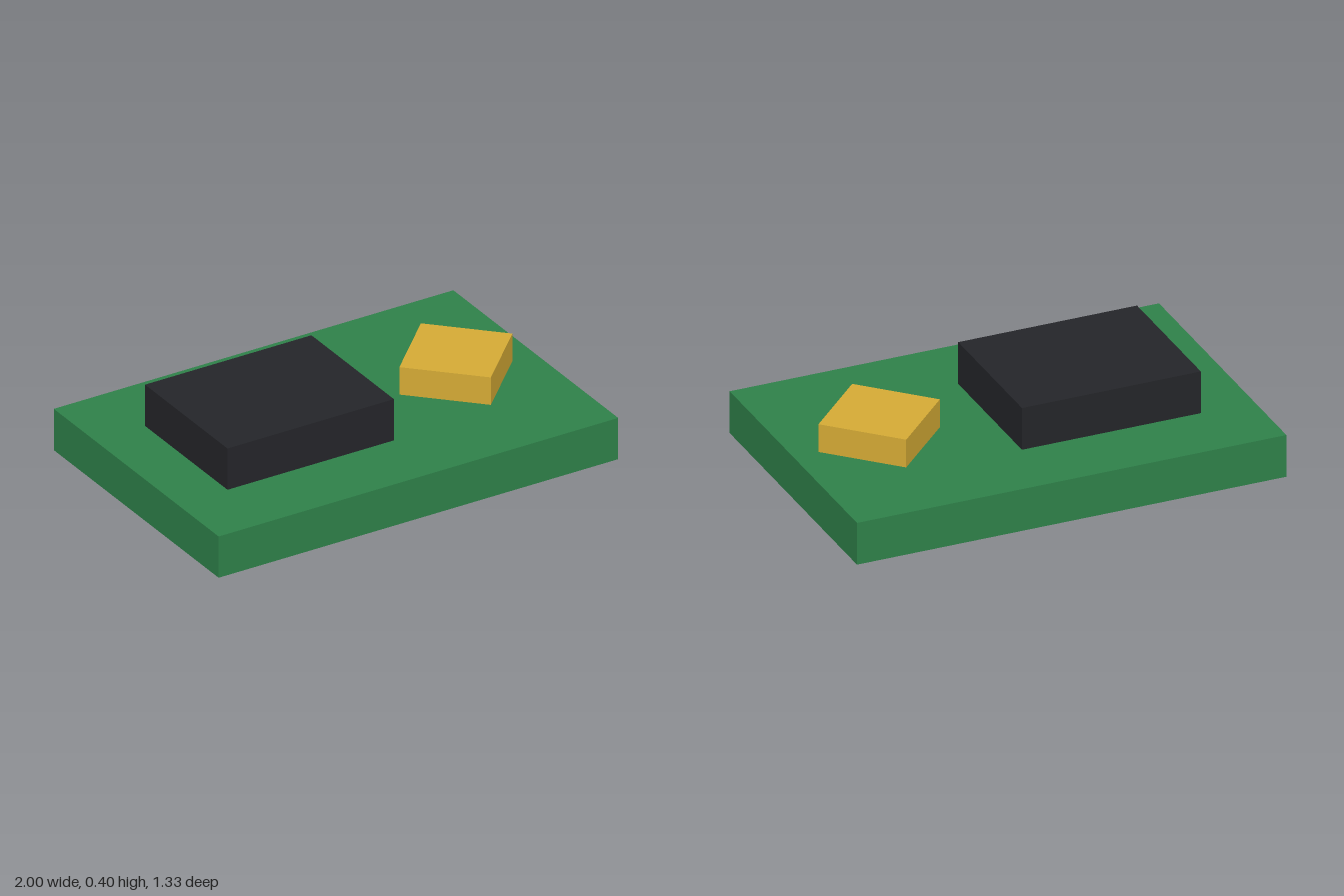
import * as THREE from 'three';

// Box resting on height y, optionally turned about the vertical axis
function block(name, color, [w, h, d], [x, y, z], turn = 0) {
  const mesh = new THREE.Mesh(
    new THREE.BoxGeometry(w, h, d),
    new THREE.MeshStandardMaterial({ color })
  );
  mesh.name = name;
  mesh.position.set(x, y + h / 2, z);
  mesh.rotation.y = turn;
  return mesh;
}

export function createModel() {
  const model = new THREE.Group();
  model.name = 'circuitBoard';
  const top = 0.2; // upper face of the board

  model.add(
    block('board', 0x2e8049, [2, top, 1.333], [0, 0, 0]),
    // Large dark chip on one side
    block('chip', 0x242529, [0.833, 0.2, 0.667], [-0.333, top, 0]),
    // Small gold component set diagonally
    block('goldComponent', 0xd4aa35, [0.4, 0.133, 0.4], [0.6, top, 0], Math.PI / 4)
  );
  return model;
}
